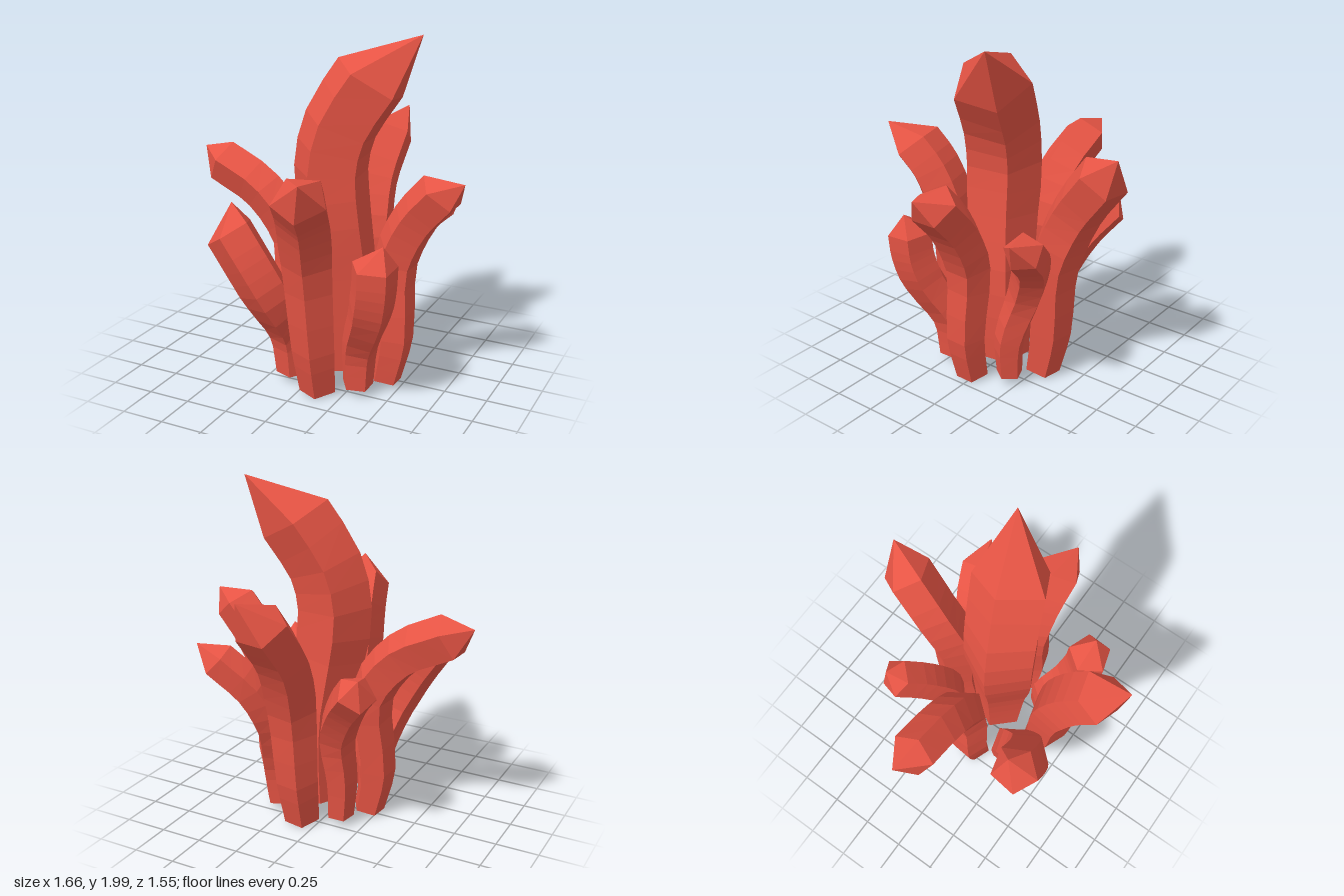
import * as THREE from 'three';

const SIDES = 5, SEGMENTS = 12;

// Curved five-sided crystal: rings swept along a path, closed by a pointed tip.
// twist (degrees) turns the section: at 90 one edge lies on the inner/upper side, at 270 a flat face does.
function crystalGeometry(points, apex, radius, twist) {
  const curve = new THREE.CatmullRomCurve3(points);
  const lean = apex.clone().sub(points[0]).setY(0).normalize();
  const across = new THREE.Vector3(0, 1, 0).cross(lean);
  const positions = [], index = [];

  for (let i = 0; i <= SEGMENTS; i++) {
    const t = i / SEGMENTS;
    const centre = curve.getPoint(t);
    const along = curve.getTangent(t);
    const side = across.clone().addScaledVector(along, -across.dot(along)).normalize();
    const inner = along.clone().cross(side);
    const r = radius * THREE.MathUtils.lerp(0.7, 1, Math.min(1, t * 1.7));
    for (let k = 0; k < SIDES; k++) {
      const a = (k / SIDES) * Math.PI * 2 + THREE.MathUtils.degToRad(twist);
      const p = centre.clone().addScaledVector(side, r * Math.cos(a)).addScaledVector(inner, r * Math.sin(a));
      positions.push(p.x, Math.max(0, p.y), p.z);
    }
  }
  const apexId = positions.length / 3, baseId = apexId + 1;
  positions.push(...apex.toArray(), ...points[0].toArray());

  // walls, tip facets and base cap
  const top = SEGMENTS * SIDES;
  for (let k = 0; k < SIDES; k++) {
    const n = (k + 1) % SIDES;
    for (let i = 0; i < top; i += SIDES) {
      index.push(i + k, i + n, i + n + SIDES, i + k, i + n + SIDES, i + k + SIDES);
    }
    index.push(top + k, top + n, apexId, n, k, baseId);
  }
  const geometry = new THREE.BufferGeometry();
  geometry.setAttribute('position', new THREE.Float32BufferAttribute(positions, 3));
  geometry.setIndex(index);
  const flat = geometry.toNonIndexed();
  flat.computeVertexNormals();
  return flat;
}

// Outer crystals in ring order: radius, twist, two bends, shoulder, tip
const OUTER = [
  ['frontCrystal', 0.155, 270, [0.09, 0.83, 0.41], [0.12, 1.11, 0.51], [0.15, 1.25, 0.62], [0.22, 1.37, 0.77]],
  ['frontLeftCrystal', 0.13, 270, [0.42, 0.55, 0.34], [0.46, 0.72, 0.38], [0.47, 0.86, 0.39], [0.52, 0.98, 0.39]],
  ['leftCrystal', 0.135, 90, [0.43, 0.75, 0], [0.54, 1.01, 0], [0.69, 1.19, 0.01], [0.83, 1.26, 0.03]],
  ['backLeftCrystal', 0.11, 90, [0.29, 0.6, -0.29], [0.36, 0.83, -0.38], [0.53, 1, -0.45], [0.66, 1.08, -0.46]],
  ['backCrystal', 0.15, 90, [0.11, 0.75, -0.35], [0.09, 1.07, -0.47], [0.11, 1.32, -0.65], [0.18, 1.47, -0.78]],
  ['backRightCrystal', 0.115, 270, [-0.11, 0.58, -0.24], [-0.21, 0.8, -0.33], [-0.33, 0.95, -0.43], [-0.36, 1.04, -0.47]],
  ['rightCrystal', 0.135, 90, [-0.22, 0.78, -0.02], [-0.41, 1.05, -0.02], [-0.69, 1.2, -0.02], [-0.83, 1.27, -0.04]],
  ['frontRightCrystal', 0.145, 270, [-0.17, 0.56, 0.38], [-0.27, 0.77, 0.43], [-0.38, 0.94, 0.44], [-0.39, 1.1, 0.4]],
];

export function createModel() {
  const group = new THREE.Group();
  group.name = 'crystalCluster';
  const material = new THREE.MeshStandardMaterial({ color: 0xe65444, flatShading: true });
  const vectors = (list) => list.map((p) => new THREE.Vector3(...p));

  function addCrystal(name, points, apex, radius, twist) {
    const mesh = new THREE.Mesh(crystalGeometry(points, apex, radius, twist), material);
    mesh.name = name;
    group.add(mesh);
  }

  // Tall S-curved crystal in the middle
  const [apex, ...spine] = vectors([
    [0.49, 2, -0.18], [0.12, 0.06, 0], [0.13, 0.35, 0], [0.12, 0.65, 0.01],
    [0.08, 0.95, 0.04], [0.05, 1.25, 0.05], [0.1, 1.5, 0.03], [0.25, 1.76, -0.03],
  ]);
  addCrystal('centralCrystal', spine, apex, 0.22, 72);

  // Eight smaller crystals rooted on an even ring, swelling outward just above the base
  OUTER.forEach(([name, radius, twist, ...bends], i) => {
    const angle = (i * Math.PI) / 4;
    const onRing = (r, y) => new THREE.Vector3(0.1 + r * Math.sin(angle), y, 0.02 + r * Math.cos(angle));
    const diagonal = i % 2 === 1;
    const path = vectors(bends);
    const tip = path.pop();
    const root = [onRing(0.29, diagonal ? 0.06 : 0.03), onRing(diagonal ? 0.31 : 0.34, 0.3)];
    addCrystal(name, [...root, ...path], tip, radius, twist);
  });
  return group;
}
